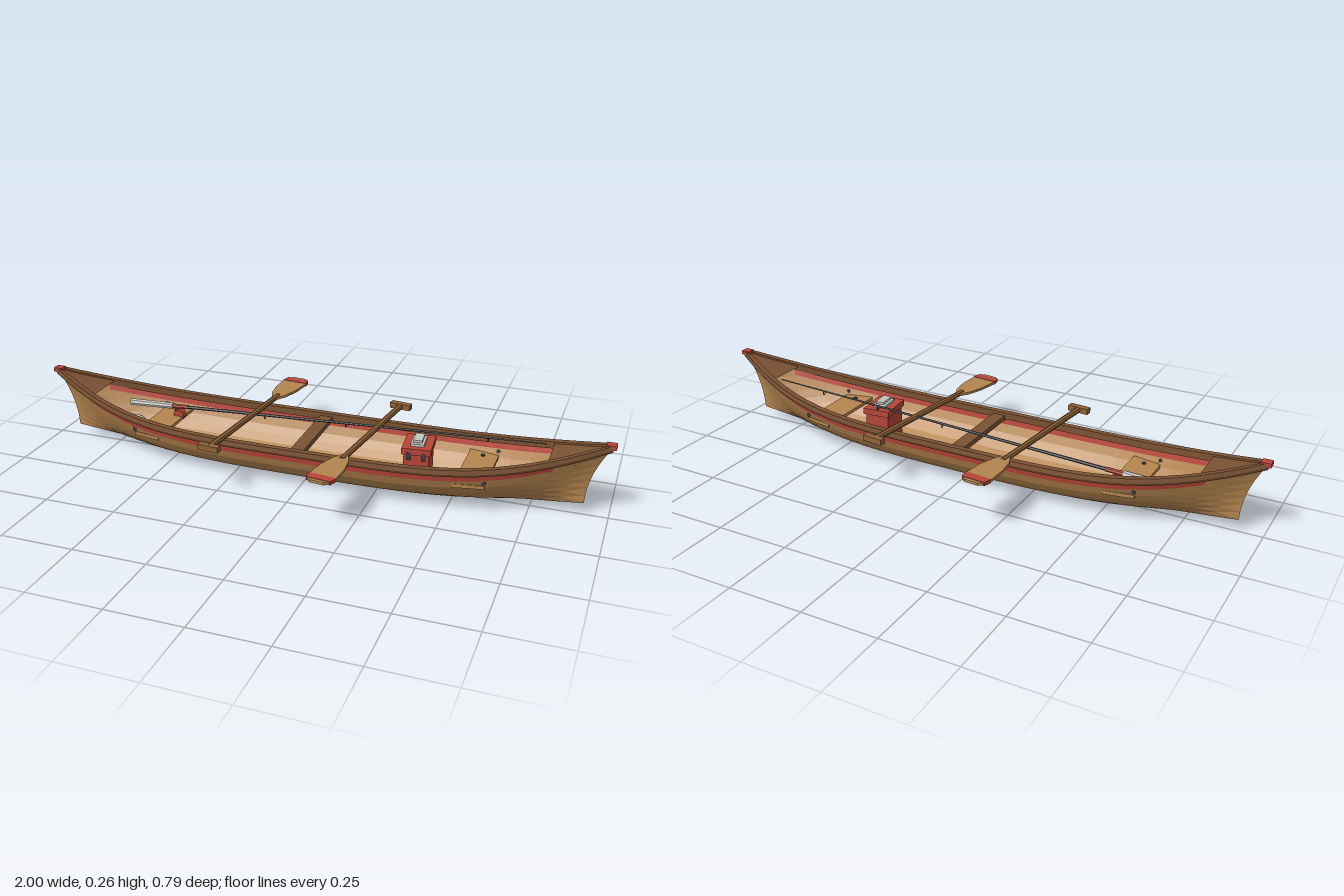
import * as THREE from 'three';

const mat = (name, color, side = THREE.FrontSide) => {
  const m = new THREE.MeshStandardMaterial({ color, side, flatShading: true });
  m.name = name;
  return m;
};
const M = {
  hull: mat('hullWood', 0xb5854f, THREE.DoubleSide),
  trim: mat('darkWood', 0x7b5233, THREE.DoubleSide),
  red: mat('redPaint', 0xb84538, THREE.DoubleSide),
  paddle: mat('paddleWood', 0xb28550),
  shaft: mat('shaftWood', 0x8f6238),
  metal: mat('paleGrey', 0xc4c4be),
  dark: mat('darkMetal', 0x3c4148),
};

function add(parent, name, geo, material, x = 0, y = 0, z = 0) {
  const mesh = new THREE.Mesh(geo, material);
  mesh.name = name;
  mesh.position.set(x, y, z);
  parent.add(mesh);
  return mesh;
}

const range = (a, b, n) => Array.from({ length: n + 1 }, (_, i) => a + ((b - a) * i) / n);

// Grid surface through fn(u, v) -> [x, y, z]
function surface(fn, us, vs) {
  const pos = [], idx = [], n = vs.length;
  us.forEach((u, i) => vs.forEach((v, j) => {
    pos.push(...fn(u, v));
    if (i && j) {
      const d = i * n + j, c = d - 1, b = d - n, a = b - 1;
      idx.push(a, c, b, b, c, d);
    }
  }));
  const g = new THREE.BufferGeometry();
  g.setAttribute('position', new THREE.Float32BufferAttribute(pos, 3));
  g.setIndex(idx);
  const flat = g.toNonIndexed();
  flat.computeVertexNormals();
  return flat;
}

// Hull skin: t runs stern to bow (-1..1), v from right sheer through keel to left sheer (-1..1)
function hullPoint(t, v) {
  const at = Math.abs(t), av = Math.abs(v), a = (av * Math.PI) / 2, end = at ** 4;
  const keel = 0.04 * at ** 2.5, sheer = 0.143 + 0.105 * end;
  const rise = THREE.MathUtils.lerp(1 - Math.cos(a), av, end);
  const wide = THREE.MathUtils.lerp(Math.sin(a) ** 0.88, av, end);
  const beam = 0.165 * (1 - end) + 0.003;
  return [
    0.92 * t + Math.sign(t) * 0.07 * at ** 6 * rise ** 2,
    keel + (sheer - keel) * rise,
    Math.sign(v) * beam * wide,
  ];
}

// Board across the boat whose ends follow the hull at height fraction v
function crossBoard(x, y, width, thick, v) {
  const g = new THREE.BoxGeometry(width, thick, 1);
  const p = g.attributes.position;
  for (let i = 0; i < p.count; i++) {
    const z = hullPoint((x + p.getX(i)) / 0.92, v)[2];
    p.setZ(i, Math.sign(p.getZ(i)) * z);
  }
  g.translate(x, y, 0);
  return g;
}

function rod(from, to, r0, r1, sides = 8) {
  const a = new THREE.Vector3(...from), b = new THREE.Vector3(...to), d = b.clone().sub(a);
  const g = new THREE.CylinderGeometry(r1, r0, d.length(), sides);
  g.applyQuaternion(new THREE.Quaternion().setFromUnitVectors(new THREE.Vector3(0, 1, 0), d.normalize()));
  const c = a.add(b).multiplyScalar(0.5);
  return g.translate(c.x, c.y, c.z);
}

// Flat plate from half-outline points [halfWidth, distance to the tip end]
function plate(half, thick) {
  const pts = [...half.map(([w, l]) => new THREE.Vector2(w, l)),
    ...half.slice().reverse().map(([w, l]) => new THREE.Vector2(-w, l))];
  const g = new THREE.ExtrudeGeometry(new THREE.Shape(pts), { depth: thick, bevelEnabled: false });
  return g.translate(0, 0, -thick / 2).rotateX(-Math.PI / 2);
}

function makePaddle() {
  const g = new THREE.Group();
  g.name = 'paddle';
  add(g, 'shaft', rod([0, 0, 0.33], [0, 0, -0.16], 0.011, 0.01), M.shaft);
  add(g, 'grip', new THREE.BoxGeometry(0.075, 0.02, 0.024), M.shaft, 0, 0, 0.333);
  add(g, 'blade', plate([[0.009, 0.13], [0.028, 0.165], [0.042, 0.225], [0.046, 0.3],
    [0.041, 0.325], [0.024, 0.34]], 0.009), M.paddle);
  add(g, 'bladeBand', plate([[0.0465, 0.297], [0.0465, 0.304], [0.041, 0.328]], 0.012), M.red);
  return g;
}

export function createModel() {
  const model = new THREE.Group();
  model.name = 'canoe';

  // Hull skin, with the painted band set into both sides
  const stations = range(-1, 1, 28), v0 = 0.83, v1 = 0.955, te = 0.87;
  add(model, 'hull', surface(hullPoint, stations, range(-v0, v0, 12)), M.hull);
  for (const s of [-1, 1]) {
    const side = (t, v) => hullPoint(t, s * v);
    const mid = [-te, ...stations.filter((t) => Math.abs(t) < te), te];
    add(model, 'topStrake', surface(side, stations, [v1, 1]), M.hull);
    add(model, 'paintedBand', surface(side, mid, [v0, v1]), M.red);
    for (const e of [-1, 1]) {
      add(model, 'bandEnd', surface(side, [e * te, e * 0.93, e], [v0, v1]), M.hull);
    }
    // Gunwale rail
    const profile = [[-0.012, -0.015], [0.007, -0.015], [0.011, -0.006], [0.009, 0.009], [-0.012, 0.009], [-0.012, -0.015]];
    const rail = (t, i) => {
      const [x, y, z] = hullPoint(t, 1);
      return [x, y + profile[i][1], s * Math.max(0, z + profile[i][0])];
    };
    add(model, 'gunwale', surface(rail, range(-1, 1, 40), [0, 1, 2, 3, 4, 5]), M.trim);
  }

  // End decks, tip caps, seats and bolts
  for (const e of [-1, 1]) {
    const deck = (t, s) => {
      const [x, y, z] = hullPoint(e * t, 1);
      return [x, y + 0.003, z * s];
    };
    add(model, 'endDeck', surface(deck, range(0.845, 1, 4), [-1, 0, 1]), M.trim);
    add(model, 'tipCap', new THREE.BoxGeometry(0.032, 0.014, 0.03), M.red, e * 0.984, 0.25, 0);
    add(model, 'seat', crossBoard(e * 0.57, 0.1, 0.1, 0.012, 0.78), M.hull);
    for (const s of [-1, 1]) {
      add(model, 'seatBolt', new THREE.CylinderGeometry(0.007, 0.007, 0.006, 8), M.dark, e * 0.57, 0.107, s * 0.1);
      const [x, y, z] = hullPoint(e * 0.668, s * 0.78);
      add(model, 'hullBolt', new THREE.CylinderGeometry(0.007, 0.007, 0.006, 8).rotateX(Math.PI / 2), M.dark, x, y, z);
    }
  }

  // Centre thwart
  add(model, 'thwart', crossBoard(-0.005, 0.132, 0.046, 0.018, 0.95), M.trim);

  // Pair of paddles laid across the gunwales
  for (const [x, z, turn] of [[-0.227, -0.055, -0.097], [0.195, 0.055, Math.PI - 0.119]]) {
    const p = makePaddle();
    p.position.set(x, 0.169, z);
    p.rotation.y = turn;
    model.add(p);
  }

  // Fishing rod with handle, reel and line guides
  const fishing = new THREE.Group();
  fishing.name = 'fishingRod';
  model.add(fishing);
  const at = (x, dy = 0) => [x, 0.164 + 0.045 * x + dy, -0.062];
  add(fishing, 'rodHandle', rod(at(-0.73), at(-0.56), 0.013, 0.012), M.metal);
  add(fishing, 'rodFerrule', rod(at(-0.56), at(-0.5), 0.009, 0.008), M.red);
  add(fishing, 'rodBlank', rod(at(-0.5), at(0.78), 0.006, 0.002, 6), M.dark);
  add(fishing, 'reel', new THREE.CylinderGeometry(0.02, 0.02, 0.024, 10).rotateX(Math.PI / 2), M.red, ...at(-0.535, -0.03));
  for (const x of [-0.2, 0.1, 0.36, 0.59]) {
    add(fishing, 'lineGuide', new THREE.TorusGeometry(0.006, 0.0015, 5, 8).rotateY(Math.PI / 2), M.dark, ...at(x, -0.008));
  }

  // Coiled line ring behind the stern seat
  add(model, 'coil', new THREE.TorusGeometry(0.046, 0.012, 8, 18).rotateX(Math.PI / 2), M.metal, -0.705, 0.08, 0.002);

  // Tackle box
  const box = new THREE.Group();
  box.name = 'tackleBox';
  box.position.set(0.372, 0, -0.007);
  box.rotation.y = 0.1;
  model.add(box);
  add(box, 'boxBody', new THREE.BoxGeometry(0.085, 0.125, 0.108), M.red, 0, 0.082, 0);
  add(box, 'boxLid', new THREE.BoxGeometry(0.098, 0.022, 0.122), M.red, 0, 0.154, 0);
  add(box, 'lidPlate', new THREE.BoxGeometry(0.045, 0.009, 0.078), M.metal, 0, 0.169, 0);
  add(box, 'boxHandle', new THREE.BoxGeometry(0.03, 0.008, 0.06), M.metal, 0, 0.18, 0);
  for (const s of [-1, 1]) {
    add(box, 'handlePost', new THREE.BoxGeometry(0.01, 0.012, 0.008), M.dark, 0, 0.176, s * 0.024);
    add(box, 'latch', new THREE.BoxGeometry(0.014, 0.026, 0.006), M.dark, s * 0.025, 0.138, 0.06);
  }
  return model;
}
